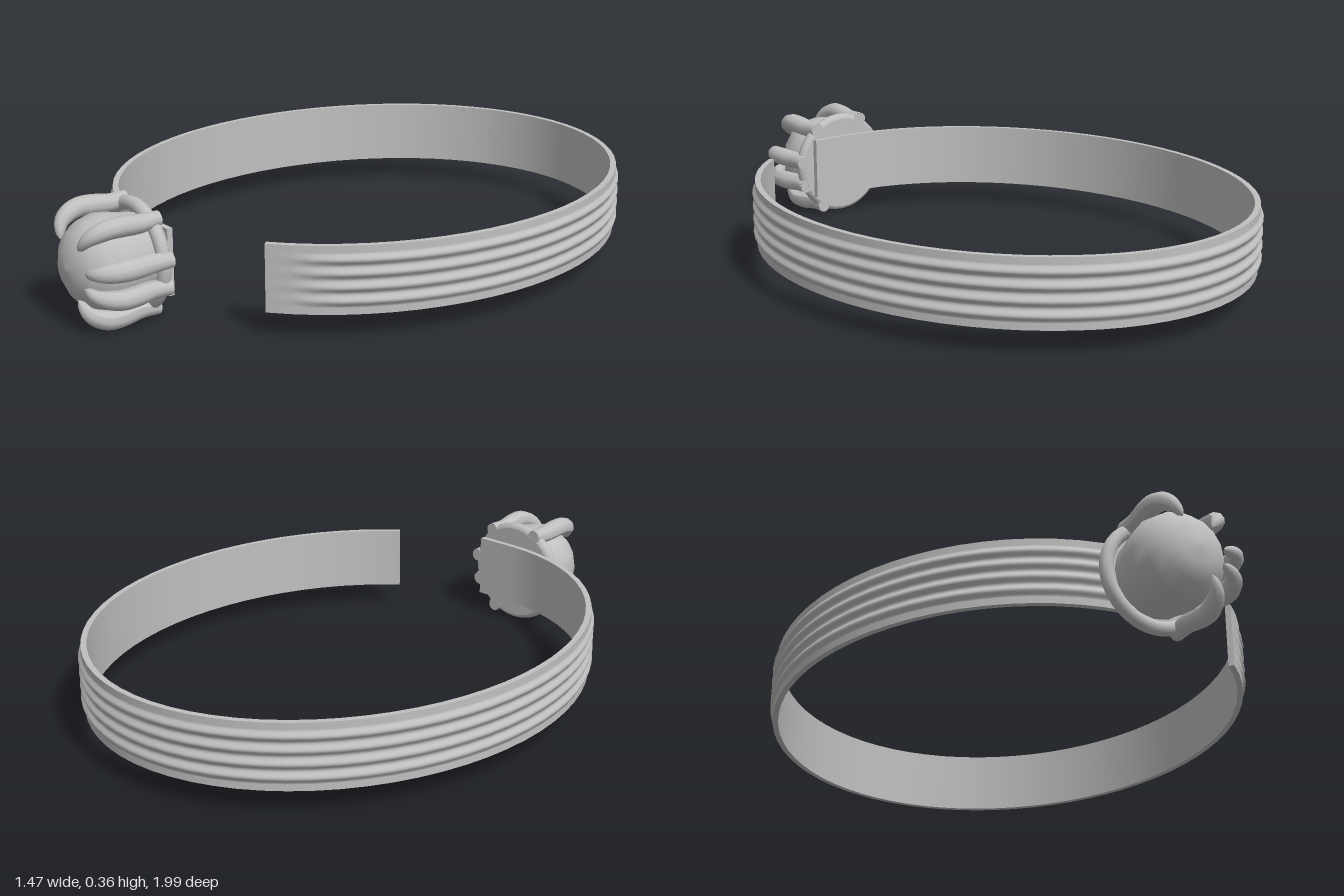
import * as THREE from 'three';
import { ParametricGeometry } from 'three/addons/geometries/ParametricGeometry.js';

const TAU = Math.PI * 2;
const MID_Y = 0.19, HALF_H = 0.103;     // band centre height and half width
const A = 0.735, B = 0.87, CZ = -0.13;  // band ellipse
const START = 0.59, END = TAU + 0.177;  // open ends of the band
const INNER = -0.028, BASE = -0.01;     // offsets below the ridge tops

export function createModel() {
  const group = new THREE.Group();
  const metal = new THREE.MeshStandardMaterial({ color: 0xc0c0c0 });
  metal.name = 'silver grey';

  const add = (parent, geometry, name) => {
    const mesh = new THREE.Mesh(geometry, metal);
    mesh.name = name;
    parent.add(mesh);
    return mesh;
  };

  // Point on the band: u along it, offset outward, y across it
  const bandPoint = (u, offset, y, target) => {
    const t = START + (END - START) * u;
    const s = Math.sin(t), c = Math.cos(Math.min(t, TAU)); // last stretch runs straight
    const nx = t > TAU ? 0 : s / A, nz = c / B, len = Math.hypot(nx, nz);
    target.set(A * s + offset * nx / len, y, CZ + B * c + offset * nz / len);
  };

  // Four rounded ridges that fade out at both ends
  const ridge = (u, v) => {
    const w = (v - 0.1) / 0.8;
    if (w <= 0 || w >= 1) return BASE;
    const fade = THREE.MathUtils.smoothstep(Math.min(u, 1 - u), 0.008, 0.05);
    return BASE - BASE * fade * Math.sin(w * Math.PI * 4) ** 2;
  };

  const band = new THREE.Group();
  band.name = 'band';
  group.add(band);
  const low = MID_Y - HALF_H, high = MID_Y + HALF_H, mix = THREE.MathUtils.lerp;
  const strip = (name, nu, nv, fn) => add(band, new ParametricGeometry(fn, nu, nv), name);
  strip('ridgedOuterFace', 64, 40, (u, v, p) => bandPoint(u, ridge(u, v), mix(low, high, v), p));
  strip('innerFace', 64, 1, (u, v, p) => bandPoint(u, INNER, mix(high, low, v), p));
  strip('upperEdge', 64, 1, (u, v, p) => bandPoint(u, mix(BASE, INNER, v), high, p));
  strip('lowerEdge', 64, 1, (u, v, p) => bandPoint(u, mix(INNER, BASE, v), low, p));
  strip('freeEnd', 1, 1, (u, v, p) => bandPoint(0, mix(INNER, BASE, u), mix(low, high, v), p));
  strip('settingEnd', 1, 1, (u, v, p) => bandPoint(1, mix(BASE, INNER, u), mix(low, high, v), p));

  // Setting: everything is laid out around the z axis at band height
  const setting = new THREE.Group();
  setting.name = 'setting';
  setting.position.y = MID_Y;
  group.add(setting);

  const plate = add(setting, new THREE.CylinderGeometry(0.16, 0.16, 0.02, 32).rotateX(Math.PI / 2), 'backPlate');
  plate.position.z = 0.749;
  const rim = add(setting, new THREE.TorusGeometry(0.154, 0.021, 10, 36), 'rim');
  rim.position.z = 0.76;

  // Domed stone
  const dome = [
    [0.125, 0.75], [0.13, 0.79], [0.14, 0.83], [0.145, 0.87], [0.133, 0.92],
    [0.102, 0.96], [0.058, 0.985], [0, 0.992],
  ].map(([r, z]) => new THREE.Vector2(r, z));
  add(setting, new THREE.LatheGeometry(dome, 16).rotateX(Math.PI / 2), 'stone');

  // Tapered claw lying in the xz plane
  const clawGeometry = () => {
    const path = new THREE.CatmullRomCurve3([
      [0.168, 0.74], [0.162, 0.8], [0.169, 0.86], [0.168, 0.91], [0.14, 0.96], [0.09, 0.98],
    ].map(([r, z]) => new THREE.Vector3(r, 0, z)));
    const SEG = 20, SIDES = 10;
    const geo = new THREE.TubeGeometry(path, SEG, 1, SIDES, false);
    const pos = geo.attributes.position, p = new THREE.Vector3();
    for (let i = 0; i <= SEG; i++) {
      const t = i / SEG, centre = path.getPointAt(t);
      const bulge = 0.023 + 0.008 * Math.sin(Math.PI * Math.min(1, t * 1.15));
      const radius = bulge * Math.sqrt(Math.max(0, 1 - Math.max(0, (t - 0.65) / 0.35) ** 2));
      for (let j = 0; j <= SIDES; j++) {
        const k = i * (SIDES + 1) + j;
        p.fromBufferAttribute(pos, k).sub(centre).multiplyScalar(radius).add(centre);
        pos.setXYZ(k, p.x, p.y, p.z);
      }
    }
    geo.computeVertexNormals();
    return geo;
  };

  const claw = clawGeometry();
  const foot = new THREE.CircleGeometry(0.023, 10).rotateY(Math.PI);
  [118, 52, 8, -22, -60].forEach((deg, i) => {
    const holder = new THREE.Group();
    holder.name = `claw${i + 1}`;
    holder.rotation.z = THREE.MathUtils.degToRad(deg);
    setting.add(holder);
    add(holder, claw, 'clawArm');
    add(holder, foot, 'clawFoot').position.set(0.168, 0, 0.74);
  });

  return group;
}
